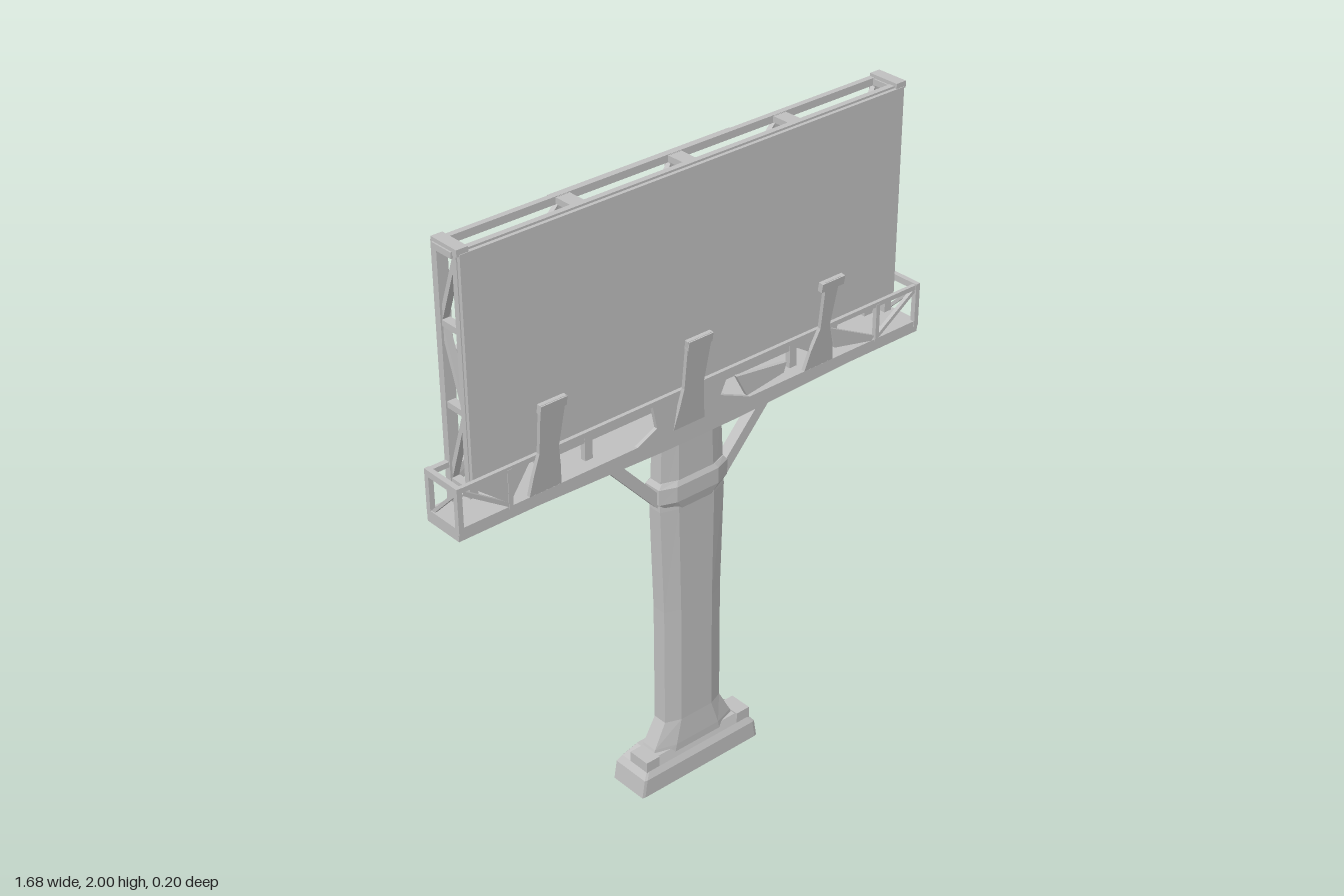
import * as THREE from 'three';

const steel = new THREE.MeshStandardMaterial({ color: 0xc0c0c0, flatShading: true, side: THREE.DoubleSide });
steel.name = 'galvanisedGrey';

export function createModel() {
  const model = new THREE.Group();
  model.name = 'billboard';

  const group = (name) => {
    const g = new THREE.Group();
    g.name = name;
    model.add(g);
    return g;
  };
  const add = (parent, name, geo) => {
    const m = new THREE.Mesh(geo, steel);
    m.name = name;
    parent.add(m);
    return m;
  };
  // Box given by its minimum and maximum corners
  const box = (parent, name, x0, x1, y0, y1, z0, z1) =>
    add(parent, name, new THREE.BoxGeometry(x1 - x0, y1 - y0, z1 - z0)
      .translate((x0 + x1) / 2, (y0 + y1) / 2, (z0 + z1) / 2));
  // Straight bar between two points
  const bar = (parent, name, a, b, w = 0.02, d = w) => {
    const p = new THREE.Vector3(...a), q = new THREE.Vector3(...b);
    const m = add(parent, name, new THREE.BoxGeometry(d, w, p.distanceTo(q)));
    m.position.copy(p).add(q).multiplyScalar(0.5);
    m.lookAt(q);
    return m;
  };
  // Chamfered rectangular sections [y, halfX, zBack, zFront], stacked upwards
  const loft = (parent, name, rings, cut) => {
    const pos = [], idx = [];
    for (const [y, hx, zb, zf] of rings) {
      const c = (zb + zf) / 2, hz = (zf - zb) / 2, cx = hx * cut, cz = hz * cut;
      for (const [x, z] of [[hx, hz - cz], [hx, cz - hz], [hx - cx, -hz], [cx - hx, -hz],
        [-hx, cz - hz], [-hx, hz - cz], [cx - hx, hz], [hx - cx, hz]]) pos.push(x, y, c + z);
    }
    for (let r = 0; r < rings.length - 1; r++) for (let i = 0; i < 8; i++) {
      const a = r * 8 + i, b = r * 8 + (i + 1) % 8;
      idx.push(a, b, b + 8, a, b + 8, a + 8);
    }
    const t = (rings.length - 1) * 8;
    for (let i = 1; i < 7; i++) idx.push(0, i + 1, i, t, t + i, t + i + 1);
    const geo = new THREE.BufferGeometry();
    geo.setAttribute('position', new THREE.Float32BufferAttribute(pos, 3));
    geo.setIndex(idx);
    geo.computeVertexNormals();
    return add(parent, name, geo);
  };
  // Flat plate cut from an outline in x and y
  const plate = (parent, name, pts, z, depth = 0.012) =>
    add(parent, name, new THREE.ExtrudeGeometry(
      new THREE.Shape(pts.map(([x, y]) => new THREE.Vector2(x, y))),
      { depth, bevelEnabled: false }).translate(0, 0, z));

  // Footing with bevelled top and anchor lumps
  const footing = group('footing');
  loft(footing, 'footingBlock', [[0, 0.23, -0.095, 0.04], [0.06, 0.22, -0.095, 0.04],
    [0.08, 0.205, -0.085, 0.03], [0.11, 0.16, -0.07, 0.02]], 0.04);
  for (const s of [-1, 1]) {
    const a = s * 0.155, b = s * 0.205;
    box(footing, 'anchor', Math.min(a, b), Math.max(a, b), 0.06, 0.115, -0.045, 0.03);
  }

  // Column with flared foot, and the collar that carries the struts
  const column = group('column');
  loft(column, 'columnShaft', [[0.08, 0.165, -0.075, 0.025], [0.12, 0.15, -0.07, 0.025],
    [0.2, 0.108, -0.065, 0.02], [0.6, 0.108, -0.065, 0.02], [0.95, 0.12, -0.065, 0.02],
    [1.19, 0.11, -0.06, 0.015]], 0.45);
  loft(column, 'collar', [[0.95, 0.09, -0.06, 0.02], [0.98, 0.128, -0.075, 0.026],
    [1.03, 0.128, -0.072, 0.026], [1.045, 0.115, -0.06, 0.018]], 0.4);
  for (const s of [-1, 1])
    bar(column, 'strut', [s * 0.115, 0.98, -0.02], [s * 0.32, 1.205, -0.02], 0.035, 0.035);

  // Catwalk deck, deeper over the column
  const catwalk = group('catwalk');
  box(catwalk, 'deck', -0.84, 0.84, 1.2, 1.237, -0.085, 0.05);
  plate(catwalk, 'deckBelly', [[-0.84, 1.2], [-0.12, 1.178], [0.12, 1.178], [0.84, 1.2]], -0.07, 0.11);

  // Handrail at the front and end cages
  bar(catwalk, 'frontRail', [-0.84, 1.35, 0.045], [0.84, 1.35, 0.045], 0.015, 0.012);
  for (const s of [-1, 1]) {
    for (const z of [-0.078, 0.045])
      bar(catwalk, 'endPost', [s * 0.832, 1.22, z], [s * 0.832, 1.36, z], 0.016);
    bar(catwalk, 'endRail', [s * 0.832, 1.35, -0.085], [s * 0.832, 1.35, 0.05], 0.02, 0.016);
    bar(catwalk, 'endBrace', [s * 0.832, 1.23, -0.07], [s * 0.832, 1.34, 0.04], 0.01);
    bar(catwalk, 'backRail', [s * 0.84, 1.35, -0.078], [s * 0.76, 1.35, -0.078], 0.016);
    bar(catwalk, 'railBrace', [s * 0.82, 1.34, 0.045], [s * 0.67, 1.24, 0.045], 0.012);
    bar(catwalk, 'railPost', [s * 0.67, 1.23, 0.045], [s * 0.67, 1.35, 0.045], 0.014);
  }

  // Gusset plates filling parts of the railing
  const gussets = [
    [[-0.8, 1.35], [-0.67, 1.245], [-0.67, 1.35]],
    [[-0.67, 1.35], [-0.67, 1.25], [-0.6, 1.35]],
    [[-0.185, 1.345], [-0.17, 1.27], [-0.24, 1.237], [0.17, 1.237], [0.06, 1.285], [0.09, 1.345]],
    [[0.12, 1.32], [0.31, 1.295], [0.3, 1.265], [0.16, 1.245]],
    [[0.32, 1.345], [0.42, 1.28], [0.4, 1.345]],
    [[0.48, 1.34], [0.5, 1.27], [0.65, 1.237], [0.66, 1.25]],
  ];
  gussets.forEach((pts) => plate(catwalk, 'railGusset', pts, 0.038));

  // Lamps leaning forward over the railing: [x, half widths from foot to top]
  const lamps = group('lamps');
  const lampY = [1.22, 1.3, 1.37, 1.5, 1.53];
  for (const [x, widths] of [[-0.555, [0.055, 0.045, 0.032, 0.04, 0.043]],
    [-0.055, [0.06, 0.045, 0.035, 0.042, 0.045]], [0.437, [0.06, 0.042, 0.018, 0.025, 0.03]]]) {
    const right = widths.map((w, i) => [x + w, lampY[i]]);
    const left = widths.map((w, i) => [x - w, lampY[i]]).reverse();
    const arm = plate(lamps, 'lampArm', [...right, ...left], 0, 0.012);
    const p = arm.geometry.attributes.position;
    for (let i = 0; i < p.count; i++) p.setZ(i, p.getZ(i) + 0.035 + (p.getY(i) - 1.22) * 0.16);
    arm.geometry.computeVertexNormals();
    const head = box(lamps, 'lampHead', -0.043, 0.043, -0.014, 0.014, -0.008, 0.008);
    head.position.set(x, 1.516, 0.09);
    head.rotation.x = 0.16;
  }

  // Display face
  const display = group('display');
  box(display, 'displayPanel', -0.765, 0.765, 1.335, 1.985, 0.004, 0.02);

  // Truss frame behind the face
  const frame = group('trussFrame');
  const zb = -0.078, zf = 0.0;
  const columns = [-0.755, -0.375, 0, 0.375, 0.755];
  const levels = [1.3, 1.53, 1.765, 1.98];
  for (const z of [zb, zf]) bar(frame, 'topBeam', [-0.77, 1.98, z], [0.77, 1.98, z], 0.022, 0.018);
  bar(frame, 'bottomBeam', [-0.77, 1.31, zb], [0.77, 1.31, zb], 0.03, 0.018);
  bar(frame, 'frontBottomBeam', [-0.55, 1.315, zf], [0.55, 1.315, zf], 0.045, 0.014);

  columns.forEach((x, i) => {
    const end = i === 0 || i === 4;
    bar(frame, 'backPost', [x, 1.225, zb], [x, 1.99, zb], 0.022, 0.034);
    bar(frame, 'frontPost', [x, end ? 1.28 : 1.225, zf], [x, 1.985, zf], 0.018, 0.026);
    levels.forEach((y, k) => {
      bar(frame, 'crossTie', [x, y, zb], [x, y, zf], 0.018, k === 3 ? 0.045 : 0.026);
      if (k < 3) {
        bar(frame, 'sideDiagonal', [x, y, k % 2 ? zf : zb], [x, levels[k + 1], k % 2 ? zb : zf], 0.014, 0.02);
      }
    });
    if (end) bar(frame, 'cornerCap', [x, 1.99, zb - 0.008], [x, 1.99, 0.018], 0.02, 0.036);
  });

  // Star-shaped bracing in each bay, hubs set deep and arms reaching the posts
  for (let i = 0; i < 4; i++) {
    const x0 = columns[i], x1 = columns[i + 1], xc = (x0 + x1) / 2;
    for (const [y0, y1] of [[1.31, 1.64], [1.64, 1.97]]) {
      const hub = [xc + (i % 2 ? 0.03 : -0.03), (y0 + y1) / 2, -0.035];
      for (const x of [x0, x1]) {
        for (const y of [y0, y1]) bar(frame, 'starBrace', [x, y, zb], hub, 0.018, 0.014);
        bar(frame, 'starTie', [x, hub[1], zf], hub, 0.014, 0.012);
      }
      bar(frame, 'starStem', [xc, y0, zf], hub, 0.014, 0.014);
    }
    bar(frame, 'midRail', [x0, 1.64, zf], [x1, 1.64, zf], 0.018, 0.014);
  }
  // Slim backing strip along the top of the truss
  box(frame, 'backStrip', -0.4, 0.22, 1.965, 1.985, -0.1, -0.085);

  return model;
}
